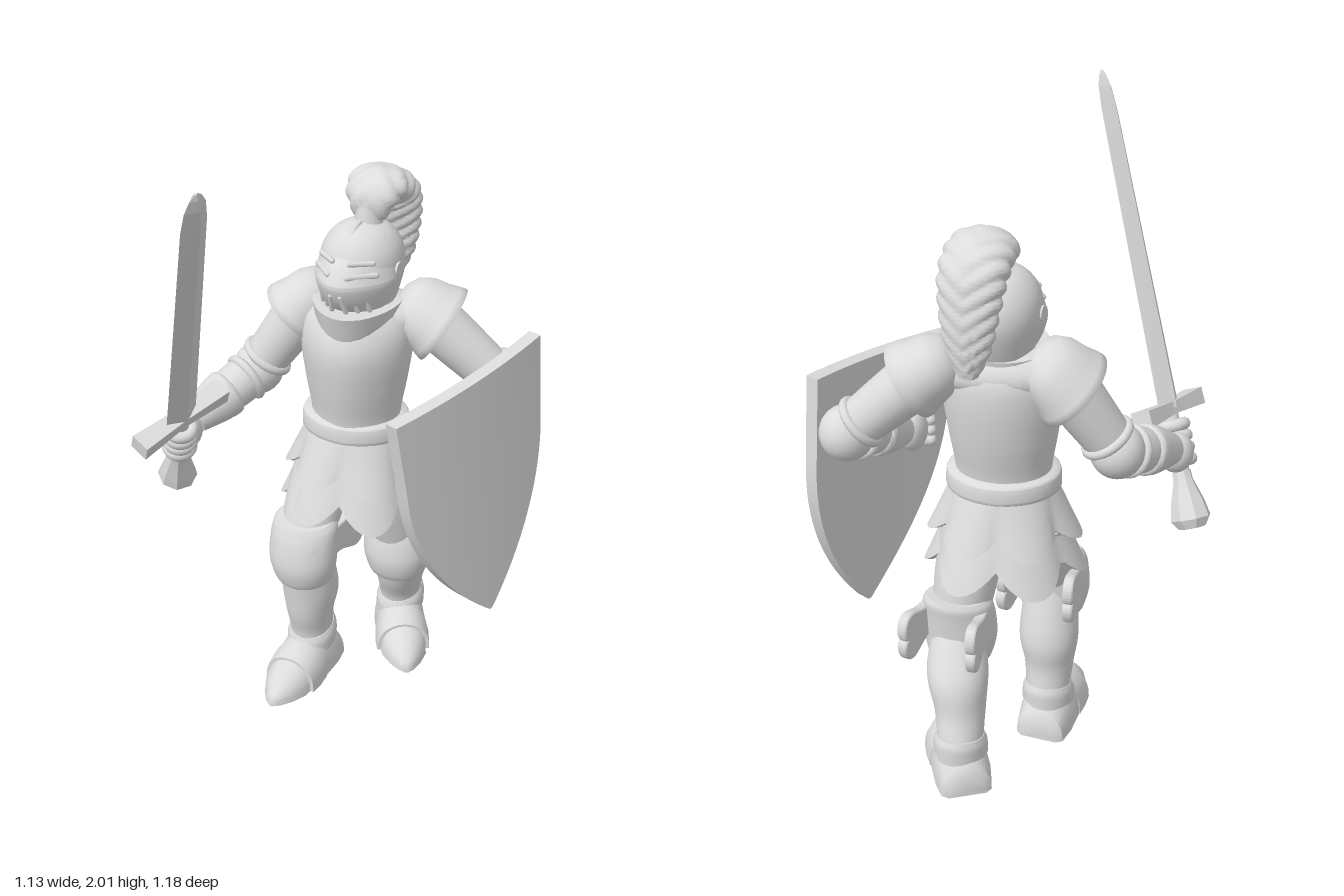
import * as THREE from 'three';
import { toCreasedNormals } from 'three/addons/utils/BufferGeometryUtils.js';

const steel = new THREE.MeshStandardMaterial({ color: 0xdcdcdc });
steel.name = 'steel grey';
steel.side = THREE.DoubleSide;
const V = (x, y, z) => new THREE.Vector3(x, y, z);
const TAU = Math.PI * 2;

function add(parent, name, geo, pos = [0, 0, 0], rot = [0, 0, 0], scale = [1, 1, 1]) {
  const m = new THREE.Mesh(geo, steel);
  m.name = name;
  m.position.set(...pos);
  m.rotation.set(...rot);
  m.scale.set(...scale);
  parent.add(m);
  return m;
}

// Closed skin over a list of equal-sized rings, optionally capped
function skin(rings, caps = true, crease = 0.7) {
  const n = rings[0].length, pos = [], idx = [];
  rings.forEach(r => r.forEach(p => pos.push(p.x, p.y, p.z)));
  for (let i = 0; i < rings.length - 1; i++) for (let j = 0; j < n; j++) {
    const a = i * n + j, b = i * n + (j + 1) % n;
    idx.push(a, b, b + n, a, b + n, a + n);
  }
  if (caps) [0, rings.length - 1].forEach((k, end) => {
    const c = rings[k].reduce((s, p) => s.add(p), V(0, 0, 0)).divideScalar(n);
    const ci = pos.length / 3;
    pos.push(c.x, c.y, c.z);
    for (let j = 0; j < n; j++) {
      const a = k * n + j, b = k * n + (j + 1) % n;
      end ? idx.push(ci, a, b) : idx.push(ci, b, a);
    }
  });
  const g = new THREE.BufferGeometry();
  g.setAttribute('position', new THREE.Float32BufferAttribute(pos, 3));
  g.setIndex(idx);
  return toCreasedNormals(g, crease);
}
const curves = keys => [0, 3].map(o => new THREE.CatmullRomCurve3(
  keys.map(k => V(k[o], k[o + 1], k[o + 2] || 0)), false, 'catmullrom', 0.5));

// Level elliptical rings, keys [x, y, z, rx, rz]; bend(v, front, t) reshapes each point, front is 1 ahead and -1 behind
function loft(keys, bend, steps = 20, sides = 32) {
  const [c, r] = curves(keys), rings = [];
  for (let i = 0; i <= steps; i++) {
    const p = c.getPoint(i / steps), q = r.getPoint(i / steps), ring = [];
    for (let j = 0; j < sides; j++) {
      const a = j / sides * TAU, v = V(p.x + q.x * Math.sin(a), p.y, p.z + q.y * Math.cos(a));
      if (bend) bend(v, Math.cos(a), i / steps);
      ring.push(v);
    }
    rings.push(ring);
  }
  return skin(rings);
}

// Elliptical rings square to a path, keys [x, y, z, r1, r2]
function sweep(keys, { sides = 20, steps = 24, mod = () => 1 } = {}) {
  const [c, r] = curves(keys), f = c.computeFrenetFrames(steps), rings = [];
  for (let i = 0; i <= steps; i++) {
    const t = c.getUtoTmapping(i / steps), p = c.getPoint(t), q = r.getPoint(t), ring = [];
    for (let j = 0; j < sides; j++) {
      const a = j / sides * TAU, m = mod(i / steps, a);
      ring.push(p.clone().addScaledVector(f.normals[i], Math.cos(a) * q.x * m)
        .addScaledVector(f.binormals[i], Math.sin(a) * q.y * m));
    }
    rings.push(ring);
  }
  return skin(rings, true, 0.9);
}
const ball = (parent, name, pos, scale, rot) =>
  add(parent, name, new THREE.SphereGeometry(1, 24, 16), pos, rot, scale);

function torso(g) {
  const body = new THREE.Group();
  body.name = 'torso';
  body.position.set(0.015, 0, -0.22);
  body.rotation.y = 0.2;
  g.add(body);
  add(body, 'breastplate', loft([[0, 0.93, 0, 0.15, 0.12], [0, 1.02, 0, 0.145, 0.12], [0, 1.14, 0, 0.163, 0.145],
    [0, 1.27, 0, 0.178, 0.16], [0, 1.36, -0.01, 0.165, 0.14], [0, 1.42, -0.01, 0.09, 0.09]],
  (v, f) => { v.z += 0.02 * Math.max(0, f) ** 5; }));
  ball(body, 'shoulders', [0, 1.355, -0.035], [0.22, 0.08, 0.115]);
  add(body, 'belt', loft([[0, 0.955, 0, 0.165, 0.14], [0, 0.965, 0, 0.175, 0.15], [0, 1.01, 0, 0.172, 0.147], [0, 1.02, 0, 0.16, 0.135]]));
  // Collar with a pointed front whose lower edge dips in a V
  add(body, 'gorget', loft([[0, 1.36, 0, 0.125, 0.12], [0, 1.385, 0, 0.135, 0.125], [0, 1.415, 0, 0.14, 0.13]], (v, f, t) => {
    const front = Math.max(0, f) ** 2;
    v.y -= 0.085 * front * (1 - t);
    v.z += front * (0.025 + 0.035 * t);
  }));
  // Two tiers of scalloped, rippling skirt plates, each with an inner wall
  [[0.965, 0.825, 0.16, 0.215, 0.06, 0], [0.88, 0.715, 0.165, 0.23, 0.085, 0.12]].forEach(([top, low, r0, r1, drop, shift], k) => {
    const rings = [[0, 0.02], [1, 0.02], [1, 0], [0.75, 0], [0.5, 0], [0.25, 0], [0, 0]].map(([t, inset]) =>
      Array.from({ length: 72 }, (_, j) => {
        const a = j / 72 * TAU, s = Math.abs(Math.sin(3 * a + shift * Math.sin(a)));
        const r = THREE.MathUtils.lerp(r0, r1, t) - inset + (s - 0.5) * 0.05 * t;
        return V(r * Math.sin(a), THREE.MathUtils.lerp(top, low - (s - 0.4) * drop, t), r * 0.9 * Math.cos(a));
      }));
    add(body, k ? 'lowerSkirtPlates' : 'upperSkirtPlates', skin(rings, false, 0.9));
  });
  ball(body, 'hips', [0, 0.84, 0], [0.16, 0.12, 0.13]);
}

function head(g) {
  const h = new THREE.Group();
  h.name = 'helmet';
  h.position.set(0.022, 0, -0.225);
  g.add(h);
  add(h, 'helmetShell', loft([[0, 1.37, 0, 0.1, 0.1], [0, 1.43, -0.01, 0.11, 0.12], [0, 1.52, -0.01, 0.128, 0.145],
    [0, 1.59, -0.01, 0.117, 0.128], [0, 1.64, -0.01, 0.075, 0.085], [0, 1.662, -0.01, 0.012, 0.012]]));
  // Visor drawn forward into a beak at mid height
  add(h, 'visor', loft([[0, 1.405, 0.03, 0.095, 0.08], [0, 1.45, 0.03, 0.117, 0.095], [0, 1.5, 0.025, 0.131, 0.108],
    [0, 1.525, 0.02, 0.128, 0.105], [0, 1.56, 0.01, 0.12, 0.102], [0, 1.59, 0, 0.114, 0.1]],
  (v, f, t) => { v.z += Math.max(0, f) ** 3 * (0.012 + 0.035 * Math.sin(Math.PI * t)); }, 24, 40));
  add(h, 'crestRidge', new THREE.TorusGeometry(0.135, 0.009, 8, 24, Math.PI * 0.85), [0, 1.525, -0.01], [0, Math.PI / 2, -0.2]);
  for (const s of [-1, 1]) {
    add(h, 'brow', new THREE.CapsuleGeometry(0.009, 0.07, 4, 8), [s * 0.058, 1.572, 0.11], [0, s * 0.62, Math.PI / 2]);
    add(h, 'eyeRim', new THREE.CapsuleGeometry(0.01, 0.09, 4, 8), [s * 0.065, 1.537, 0.122], [0, s * 0.75, Math.PI / 2]);
    for (let i = 0; i < 3; i++) {
      add(h, 'visorBar', new THREE.CapsuleGeometry(0.008, 0.06, 4, 8), [s * (0.02 + i * 0.028), 1.447, 0.153 - i * 0.024], [0.4, 0, s * 0.12]);
      ball(h, 'visorStud', [s * (0.045 + i * 0.022), 1.503, 0.143 - i * 0.021], [0.007, 0.014, 0.007]);
    }
    add(h, 'visorPivot', new THREE.CylinderGeometry(0.022, 0.022, 0.02, 16), [s * 0.122, 1.53, 0], [0, 0, Math.PI / 2]);
  }
  // Feather plume with slanted ridges
  add(g, 'plumeHolder', new THREE.CylinderGeometry(0.035, 0.048, 0.07, 16), [0.03, 1.665, -0.255]);
  add(g, 'plume', sweep([[0.03, 1.66, -0.26, 0.05, 0.035], [0.03, 1.72, -0.275, 0.085, 0.05], [0.03, 1.745, -0.33, 0.098, 0.057],
    [0.03, 1.7, -0.405, 0.098, 0.06], [0.03, 1.6, -0.44, 0.085, 0.052], [0.03, 1.5, -0.45, 0.065, 0.045], [0.03, 1.42, -0.455, 0.03, 0.03]],
  { sides: 40, steps: 110, mod: (u, a) => 0.93 + 0.11 * Math.abs(Math.sin(u * 34 + 4 * Math.abs(Math.cos(a)))) }));
}

function arm(g, side, sh, el, wr) {
  const a = new THREE.Group();
  a.name = side + 'Arm';
  g.add(a);
  const s = side === 'left' ? 1 : -1, S = V(...sh), E = V(...el), W = V(...wr);
  const at = (p, q, t, r) => [...p.clone().lerp(q, t).toArray(), r, r];
  add(a, 'upperArm', sweep([at(S, E, 0, 0.088), at(S, E, 0.5, 0.08), at(S, E, 1, 0.07)]));
  add(a, 'forearm', sweep([at(E, W, 0, 0.068), at(E, W, 0.4, 0.072), at(E, W, 1, 0.048)]));
  add(a, 'gauntletCuff', sweep([at(E, W, 0.46, 0.068), at(E, W, 0.52, 0.08), at(E, W, 0.75, 0.07), at(E, W, 1.02, 0.052)]));
  ball(a, 'elbowGuard', el, [0.083, 0.086, 0.083]);
  const turn = (m, dir) => m.quaternion.setFromUnitVectors(V(0, 0, 1), dir.clone().normalize());
  [[S, E, 0.82, 0.073], [E, W, 0.2, 0.07]].forEach(([p, q, t, r]) =>
    turn(add(a, 'elbowBand', new THREE.TorusGeometry(r, 0.015, 10, 24), p.clone().lerp(q, t).toArray()), q.clone().sub(p)));
  // Bell-shaped shoulder plate with a flared lip
  const plate = new THREE.LatheGeometry([[0.128, -0.07], [0.142, -0.068], [0.136, -0.045], [0.122, -0.01], [0.112, 0.035], [0.085, 0.075], [0.045, 0.096], [0, 0.1]]
    .map(q => new THREE.Vector2(...q)), 32);
  const dir = E.clone().sub(S).setY((E.y - S.y) * 0.75).normalize();
  const p = add(a, side + 'ShoulderPlate', plate, S.clone().add(V(-s * 0.005, 0.005, 0)).toArray(), [0, 0, 0], [0.85, 1, 1]);
  p.quaternion.setFromUnitVectors(V(0, -1, 0), dir);
}

function leg(g, side, hip, knee, ankle, footTurn) {
  const l = new THREE.Group();
  l.name = side + 'Leg';
  g.add(l);
  const [kx, ky, kz] = knee, [ax, ay, az] = ankle;
  add(l, 'thigh', loft([[kx, ky, kz, 0.085, 0.085], [(kx + hip[0]) / 2, (ky + hip[1]) / 2, (kz + hip[2]) / 2, 0.1, 0.105], [...hip, 0.1, 0.11]]));
  add(l, 'greave', loft([[ax, 0.08, az, 0.075, 0.085], [ax, ay + 0.03, az, 0.072, 0.082], [ax * 0.75 + kx * 0.25, 0.25, az * 0.75 + kz * 0.25, 0.08, 0.088],
    [ax * 0.4 + kx * 0.6, 0.36, az * 0.4 + kz * 0.6 - 0.02, 0.096, 0.098], [kx, ky, kz - 0.01, 0.08, 0.085]]));
  add(l, 'ankleCuff', loft([[ax, 0.1, az, 0.084, 0.094], [ax, 0.145, az, 0.083, 0.093], [ax, 0.17, az, 0.074, 0.084]],
    v => { v.y -= (v.z - az) * 0.25; }, 8));
  add(l, 'kneePlate', loft([[kx, ky - 0.118, kz - 0.005, 0.088, 0.08], [kx, ky - 0.1, kz, 0.102, 0.092], [kx, ky - 0.03, kz + 0.008, 0.117, 0.1],
    [kx, ky + 0.05, kz, 0.116, 0.097], [kx, ky + 0.095, kz - 0.01, 0.11, 0.092], [kx, ky + 0.115, kz - 0.012, 0.095, 0.085]],
  v => { v.y -= (v.z - kz) * 0.12; }));
  // Two-lobed wing beside each knee, fanning backward
  const wing = new THREE.Shape();
  wing.moveTo(0.04, -0.045);
  wing.bezierCurveTo(-0.03, -0.04, -0.07, -0.1, -0.105, -0.06);
  wing.bezierCurveTo(-0.125, -0.03, -0.12, -0.005, -0.1, 0);
  wing.bezierCurveTo(-0.125, 0.015, -0.12, 0.075, -0.085, 0.075);
  wing.bezierCurveTo(-0.05, 0.075, -0.03, 0.045, 0.04, 0.05);
  const wingGeo = new THREE.ExtrudeGeometry(wing, { depth: 0.014, bevelSize: 0.008, bevelThickness: 0.01, bevelSegments: 3, curveSegments: 10 });
  for (const s of [-1, 1])
    add(l, 'kneeWing', wingGeo, [kx + s * 0.095 + 0.007, ky + 0.035, kz - 0.075], [0, -Math.PI / 2 - s * 0.12, 0]);
  // Pointed foot with overlapping plates
  const foot = new THREE.Group();
  foot.name = side + 'Foot';
  foot.position.set(ax, 0, az);
  foot.rotation.y = footTurn;
  l.add(foot);
  const shell = (name, keys) => add(foot, name, skin(keys.map(([z, w, h]) => Array.from({ length: 28 }, (_, j) => {
    const a = j / 28 * TAU;
    return V(w * Math.cos(a), h * Math.max(0, Math.sin(a)) ** 0.8, z);
  }))));
  shell('heel', [[-0.105, 0.06, 0.06], [-0.09, 0.08, 0.1], [-0.03, 0.09, 0.15], [0.05, 0.09, 0.16], [0.1, 0.09, 0.13]]);
  shell('instepPlate', [[0.06, 0.093, 0.14], [0.11, 0.097, 0.135], [0.16, 0.094, 0.11]]);
  shell('toeCap', [[0.13, 0.084, 0.11], [0.19, 0.078, 0.092], [0.24, 0.054, 0.065], [0.275, 0.028, 0.036], [0.293, 0.004, 0.008]]);
}

function sword(g) {
  const s = new THREE.Group();
  s.name = 'sword';
  const y = V(0.355, 0.93, 0.385).normalize(), z = V(-0.09, -0.07, 0.33).cross(y).normalize(), x = y.clone().cross(z);
  s.quaternion.setFromRotationMatrix(new THREE.Matrix4().makeBasis(x, y, z));
  s.position.set(-0.385, 1.07, 0.19);
  g.add(s);
  add(s, 'blade', skin([[0, 0.062, 0.03], [0.95, 0.047, 0.025], [1.02, 0.038, 0.02], [1.055, 0.022, 0.012], [1.072, 0.006, 0.004]].map(([h, w, t]) =>
    [V(w, h, 0), V(0, h, -t), V(-w, h, 0), V(0, h, t)]), true, 0.1));
  const guard = new THREE.BoxGeometry(0.35, 0.045, 0.055, 6, 1, 1), p = guard.attributes.position;
  for (let i = 0; i < p.count; i++) {
    const e = Math.abs(p.getX(i)) / 0.175;
    p.setXYZ(i, p.getX(i), p.getY(i) * (0.85 + 0.35 * e), p.getZ(i) * (0.9 + 0.3 * e));
  }
  guard.computeVertexNormals();
  add(s, 'crossGuard', guard, [0, 0, 0], [0, 0, 0.1]);
  add(s, 'grip', new THREE.CylinderGeometry(0.026, 0.026, 0.28, 16), [0, -0.14, 0]);
  add(s, 'pommel', toCreasedNormals(new THREE.LatheGeometry([[0, -0.385], [0.045, -0.38], [0.065, -0.35], [0.055, -0.3], [0.032, -0.23], [0.03, -0.2], [0, -0.2]]
    .map(q => new THREE.Vector2(...q)), 8), 0.4));
  for (let i = 0; i < 4; i++)
    add(s, 'finger', new THREE.TorusGeometry(0.038, 0.02, 10, 20), [0, -0.055 - i * 0.037, 0], [Math.PI / 2, 0, 0]);
}

function shield(g) {
  const s = new THREE.Group();
  s.name = 'shield';
  const x = V(0.298, 0.122, -0.947).normalize(), z = x.clone().cross(V(-0.069, 0.995, 0.09)).normalize();
  s.quaternion.setFromRotationMatrix(new THREE.Matrix4().makeBasis(x, z.clone().cross(x), z));
  s.position.set(0.433, 1.28, -0.118);
  g.add(s);
  // Bowed heater outline, front strip then back strip in each ring
  const rings = [];
  for (let i = 0; i <= 32; i++) {
    const y = -0.875 * (1 - (i / 32) ** 1.4), d = -y / 0.875;
    const w = 0.006 + 0.314 * (d < 0.28 ? 1 - d * 0.16 : 0.955 * (1 - ((d - 0.28) / 0.72) ** 2.1));
    const row = f => Array.from({ length: 13 }, (_, j) => {
      const u = (j / 6 - 1) * w;
      return V(u, y, 0.018 - 0.2 * u * u + f);
    });
    rings.push([...row(0.022), ...row(-0.022).reverse()]);
  }
  add(s, 'shieldBoard', skin(rings, true, 0.5));
}

export function createModel() {
  const g = new THREE.Group();
  g.name = 'armouredKnight';
  torso(g);
  head(g);
  arm(g, 'right', [-0.165, 1.35, -0.24], [-0.32, 1.1, -0.17], [-0.42, 1.0, 0.06]);
  arm(g, 'left', [0.205, 1.35, -0.325], [0.44, 1.14, -0.395], [0.395, 1.02, -0.13]);
  leg(g, 'right', [-0.08, 0.83, -0.2], [-0.09, 0.535, -0.06], [-0.1, 0.13, -0.13], 0);
  leg(g, 'left', [0.1, 0.83, -0.25], [0.13, 0.48, -0.325], [0.078, 0.13, -0.47], 0.55);
  sword(g);
  shield(g);
  ball(g, 'rightHand', [-0.435, 0.97, 0.1], [0.055, 0.065, 0.06]);
  ball(g, 'leftHand', [0.37, 1.0, -0.08], [0.045, 0.07, 0.06]);
  for (let i = 0; i < 4; i++)
    add(g, 'leftFinger', new THREE.CapsuleGeometry(0.019, 0.05, 4, 10), [0.355, 0.945 + i * 0.036, -0.04], [0, 0.3, Math.PI / 2]);
  return g;
}
